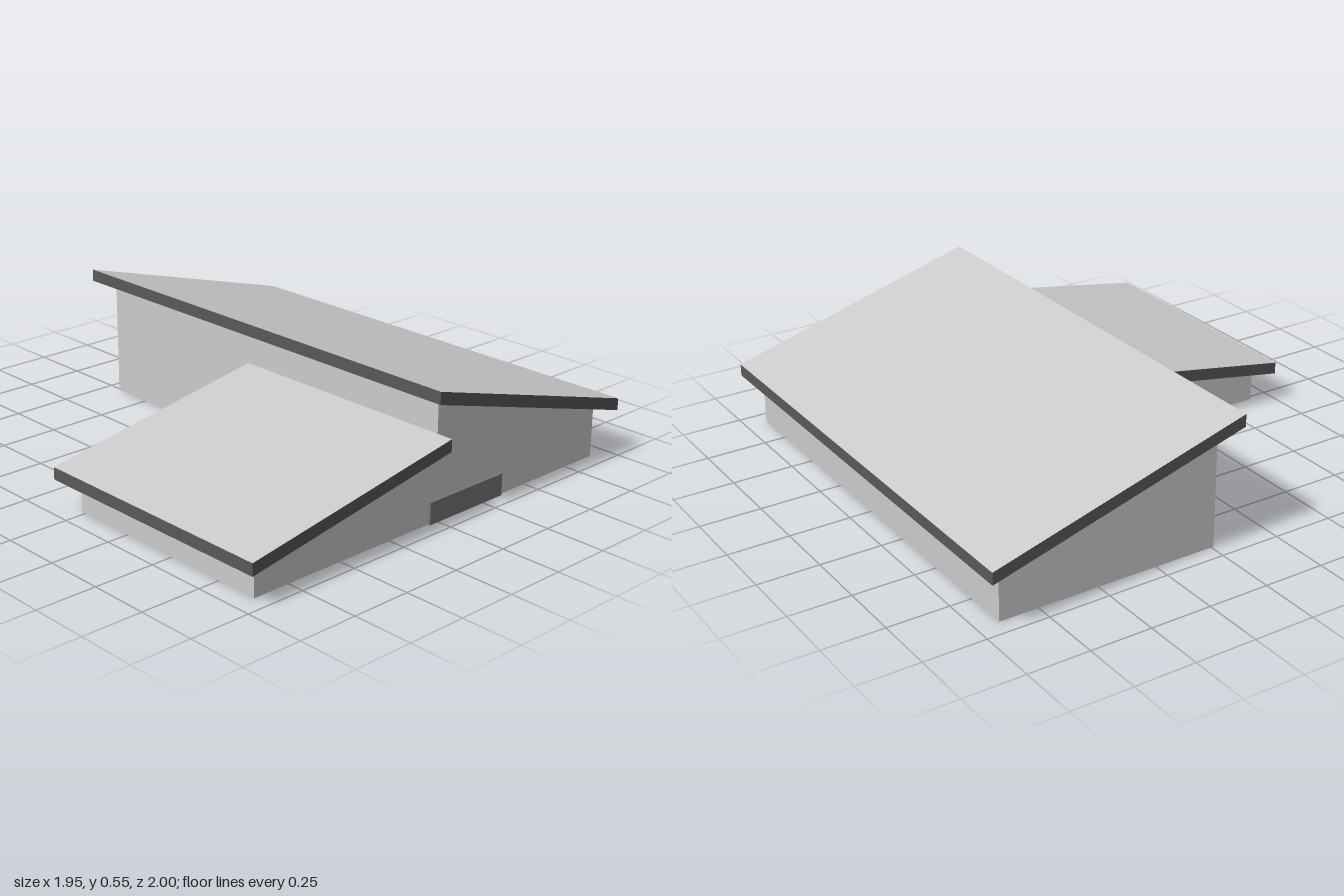
import * as THREE from 'three';

const grey = new THREE.MeshStandardMaterial({ color: 0xcccccc });
const trim = new THREE.MeshStandardMaterial({ color: 0x595959 });
const doorGrey = new THREE.MeshStandardMaterial({ color: 0x777777 });

const SLAB = 0.05; // roof thickness

// Straight slope through two underside points
const line = (x0, y0, x1, y1) => (x) => y0 + ((y1 - y0) * (x - x0)) / (x1 - x0);
const mainUnder = line(-0.08, 0.5, 0.975, 0.2);
const wingUnder = line(-0.98, 0.13, -0.01, 0.3);

// Plan point [x, z] to shape space (shape y becomes -z once laid flat)
const plan = (pts) => pts.map(([x, z]) => new THREE.Vector2(x, -z));
const rect = (x0, x1, z0, z1) => plan([[x0, z0], [x0, z1], [x1, z1], [x1, z0]]);

// Floor plan raised to meet the sloping underside of a roof
function walls(name, outline, rooms, under) {
  const shape = new THREE.Shape(outline);
  rooms.forEach((r) => shape.holes.push(new THREE.Path(rect(...r))));
  const geo = new THREE.ExtrudeGeometry(shape, { depth: 1, bevelEnabled: false });
  geo.rotateX(-Math.PI / 2);
  const p = geo.attributes.position;
  for (let i = 0; i < p.count; i++) p.setY(i, p.getY(i) > 0.5 ? under(p.getX(i)) : 0);
  geo.computeVertexNormals();
  const mesh = new THREE.Mesh(geo, grey);
  mesh.name = name;
  return mesh;
}

// Sheared slab with upright edges: light top, dark edges and soffit
function roof(name, x0, x1, z0, z1, under) {
  const geo = new THREE.BoxGeometry(x1 - x0, SLAB, z1 - z0).toNonIndexed();
  geo.translate((x0 + x1) / 2, SLAB / 2, (z0 + z1) / 2);
  const p = geo.attributes.position;
  for (let i = 0; i < p.count; i++) p.setY(i, p.getY(i) + under(p.getX(i)));
  geo.computeVertexNormals();
  const mesh = new THREE.Mesh(geo, [trim, trim, grey, trim, trim, trim]);
  mesh.name = name;
  return mesh;
}

export function createModel() {
  const group = new THREE.Group();
  group.name = 'house';

  // Tall main block, open below, divided into four rooms
  group.add(walls('mainWalls', rect(-0.01, 0.91, -0.93, 0.93), [
    [0.025, 0.875, -0.895, -0.06],
    [0.31, 0.875, -0.025, 0.38],
    [0.31, 0.875, 0.415, 0.895],
    [0.025, 0.275, -0.025, 0.595],
    [0.025, 0.275, 0.63, 0.895],
  ], mainUnder));

  // Low wing: three walls closed by the side of the main block
  group.add(walls('wingWalls', plan([
    [-0.01, -0.02], [-0.91, -0.02], [-0.91, 0.93], [-0.01, 0.93],
    [-0.01, 0.895], [-0.875, 0.895], [-0.875, 0.015], [-0.01, 0.015],
  ]), [], wingUnder));

  group.add(roof('mainRoof', -0.08, 0.975, -1, 1, mainUnder));
  group.add(roof('wingRoof', -0.98, -0.01, -0.09, 1, wingUnder));

  // Wide low door panel on the front
  const door = new THREE.Mesh(new THREE.BoxGeometry(0.4, 0.09, 0.01), doorGrey);
  door.position.set(0.155, 0.045, 0.935);
  door.name = 'frontDoor';
  group.add(door);

  return group;
}
